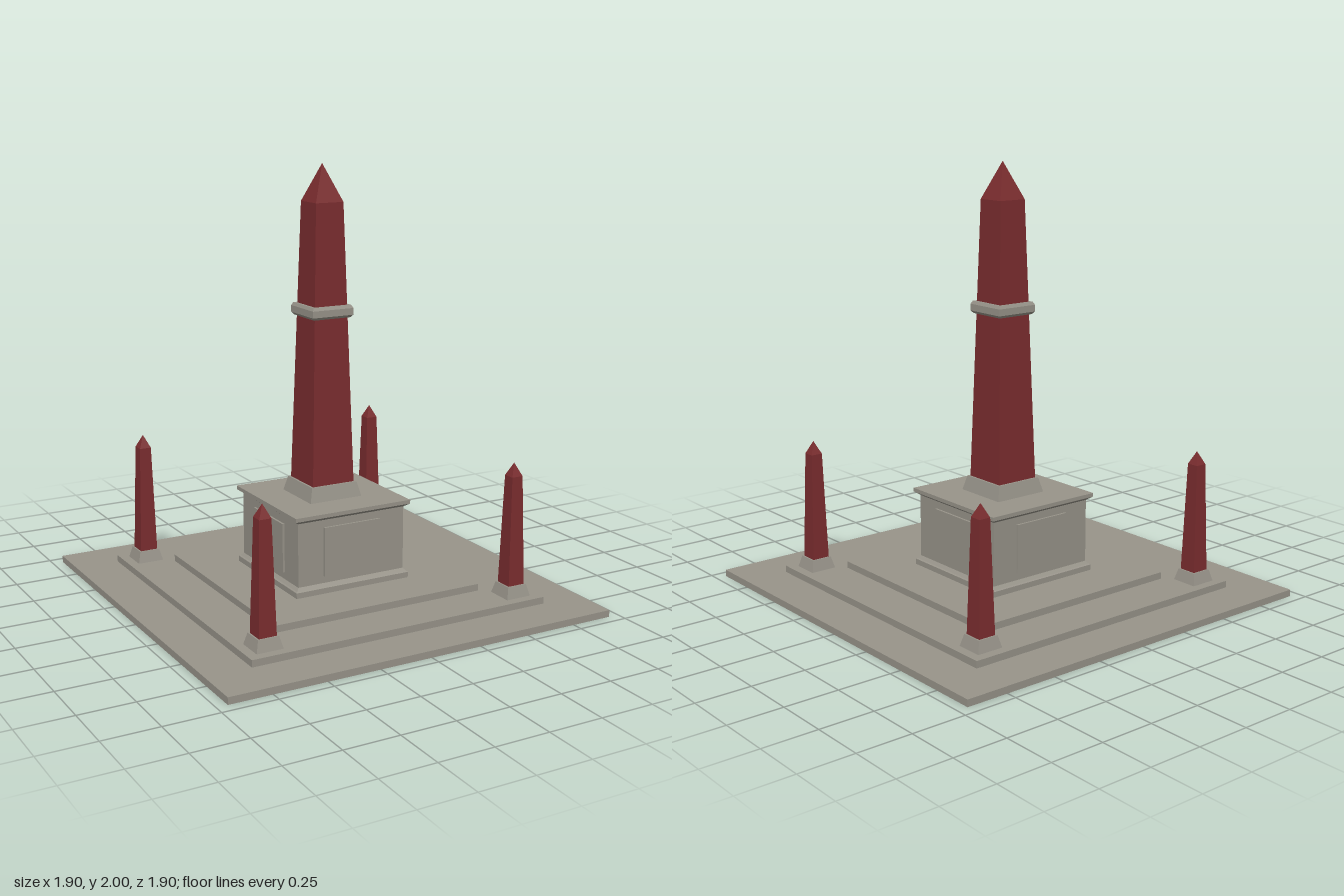
import * as THREE from 'three';

const stone = new THREE.MeshStandardMaterial({ color: 0x98948a });
stone.name = 'grey stone';
const granite = new THREE.MeshStandardMaterial({ color: 0x7b2d2f });
granite.name = 'red granite';

// Square solid with crisp edges from [halfWidth, y] pairs, listed bottom to top
function squareSolid(name, profile, material) {
  const points = profile.map(([half, y]) => new THREE.Vector2(half * Math.SQRT2, y));
  points.unshift(new THREE.Vector2(0, profile[0][1]));
  points.push(new THREE.Vector2(0, profile[profile.length - 1][1]));
  const geometry = new THREE.LatheGeometry(points, 4, Math.PI / 4).toNonIndexed();
  geometry.computeVertexNormals();
  const mesh = new THREE.Mesh(geometry, material);
  mesh.name = name;
  return mesh;
}

function box(name, w, h, d, x, y, z) {
  const mesh = new THREE.Mesh(new THREE.BoxGeometry(w, h, d), stone);
  mesh.name = name;
  mesh.position.set(x, y, z);
  return mesh;
}

export function createModel() {
  const model = new THREE.Group();
  model.name = 'obeliskMonument';

  // Three stacked steps
  const rise = 0.032;
  [0.95, 0.74, 0.527].forEach((half, i) => {
    model.add(box('step' + (i + 1), half * 2, rise, half * 2, 0, rise * (i + 0.5), 0));
  });

  // Pedestal with moulded foot and cornice
  model.add(squareSolid('pedestal', [
    [0.293, 0.095], [0.293, 0.122], [0.287, 0.126], [0.275, 0.14],
    [0.275, 0.438], [0.295, 0.452], [0.298, 0.454], [0.298, 0.472],
  ], stone));

  // Raised panel on each pedestal face
  for (let i = 0; i < 4; i++) {
    const side = new THREE.Group();
    side.name = 'pedestalPanel' + (i + 1);
    side.rotation.y = i * Math.PI / 2;
    side.add(box('panel', 0.29, 0.23, 0.016, 0, 0.288, 0.277));
    model.add(side);
  }

  // Main obelisk: sloped foot, shaft with pointed tip, collar
  model.add(squareSolid('obeliskFoot', [[0.134, 0.472], [0.117, 0.54]], stone));
  model.add(squareSolid('obeliskShaft', [[0.107, 0.54], [0.07, 1.83], [0, 2]], granite));
  model.add(squareSolid('collar', [
    [0.094, 1.31], [0.104, 1.322], [0.104, 1.353], [0.097, 1.367],
  ], stone));

  // Small obelisk on each corner of the second step
  for (const x of [-1, 1]) {
    for (const z of [-1, 1]) {
      const corner = new THREE.Group();
      corner.name = 'cornerObelisk' + (z > 0 ? 'Front' : 'Back') + (x > 0 ? 'Left' : 'Right');
      corner.position.set(x * 0.633, 0, z * 0.633);
      corner.add(squareSolid('foot', [[0.063, 0.064], [0.049, 0.118]], stone));
      corner.add(squareSolid('shaft', [[0.042, 0.118], [0.028, 0.626], [0, 0.686]], granite));
      model.add(corner);
    }
  }

  return model;
}
